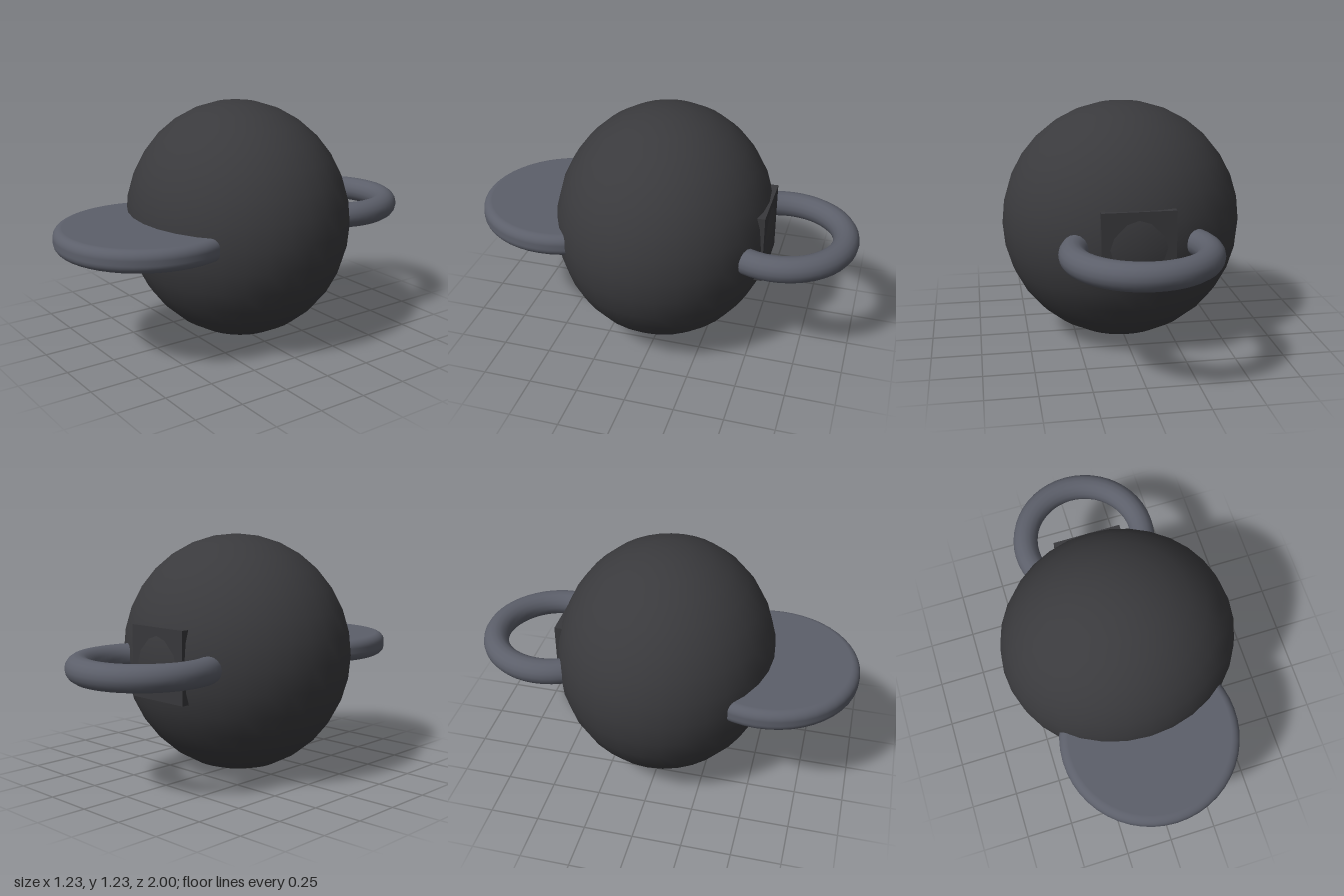
import * as THREE from 'three';

export function createModel() {
  const group = new THREE.Group();
  const midY = 0.62;
  const add = (name, geometry, color, y, z) => {
    const mesh = new THREE.Mesh(geometry, new THREE.MeshStandardMaterial({ color }));
    mesh.name = name;
    mesh.position.set(0, y, z);
    group.add(mesh);
    return mesh;
  };

  // Round body, slightly flattened front to back
  const body = add('body', new THREE.SphereGeometry(0.615, 32, 16), 0x3a3a3d, 0.62, 0);
  body.scale.z = 0.565 / 0.615;

  // Flat bill: a disc with a rounded rim, sunk into the body
  const radius = 0.455, half = 0.057, round = 0.045;
  const profile = new THREE.Path();
  profile.moveTo(0, -half);
  profile.lineTo(radius - round, -half);
  profile.absarc(radius - round, -half + round, round, -Math.PI / 2, 0, false);
  profile.absarc(radius - round, half - round, round, 0, Math.PI / 2, false);
  profile.lineTo(0, half);
  const points = profile.getPoints(6).filter((p, i, all) => i === 0 || p.distanceTo(all[i - 1]) > 1e-4);
  add('bill', new THREE.LatheGeometry(points, 48), 0x5c5f6a, midY, 0.542);

  // Ring handle at the back
  const ring = new THREE.TorusGeometry(0.32, 0.066, 16, 48);
  ring.rotateX(Math.PI / 2);
  add('ringHandle', ring, 0x5c5f6a, midY, -0.614);

  // Square back plate, the body bulging through its middle
  add('backPlate', new THREE.BoxGeometry(0.36, 0.36, 0.05), 0x38383b, midY, -0.524);

  return group;
}
